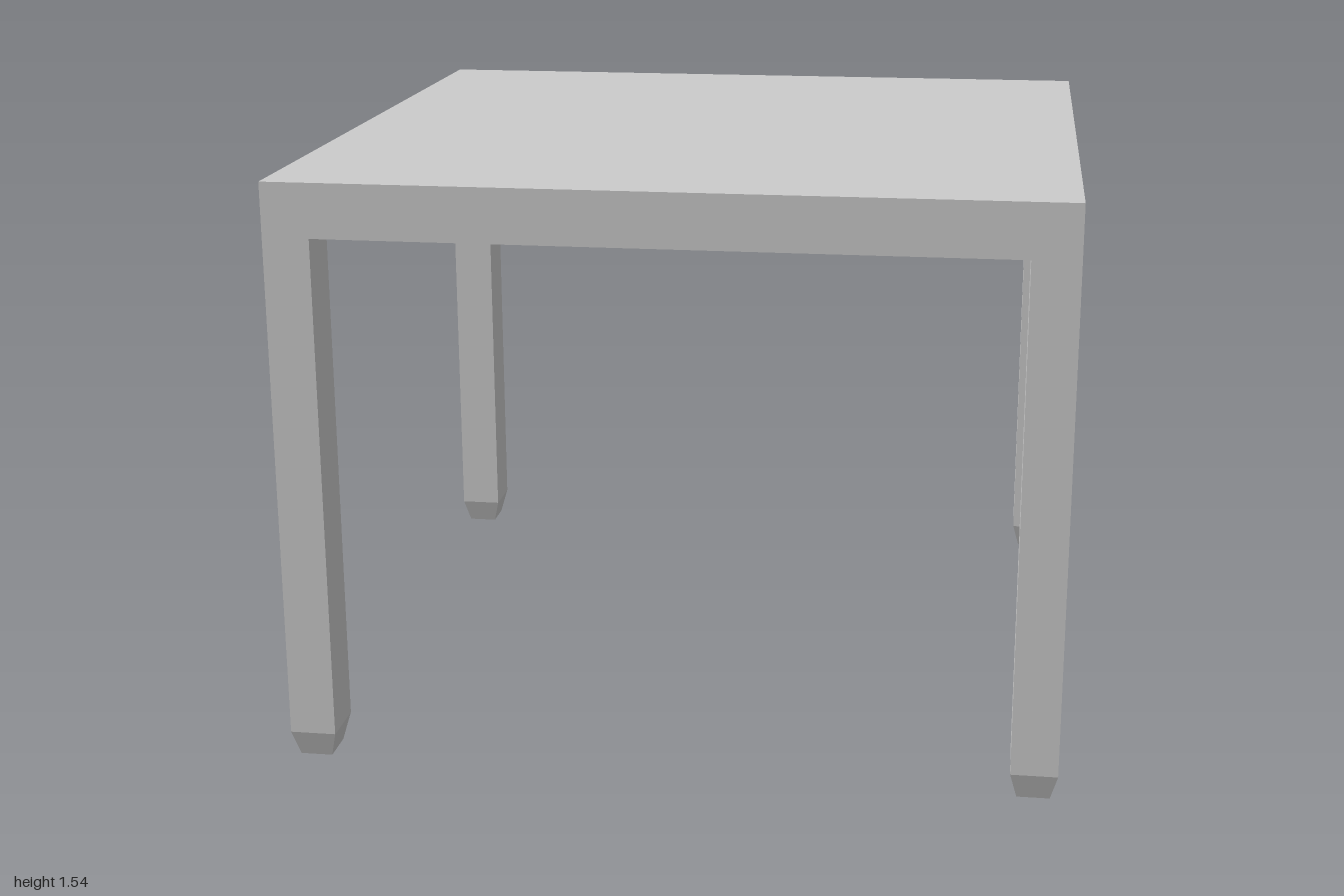
import * as THREE from 'three';

const LEG_X = 0.12, LEG_Z = 0.14;     // leg and apron thickness
const APRON_Y = 1.4, SLAB_Y = 1.47, TOP_Y = 1.54;
const FOOT_Y = 0.07;                  // height where the foot starts to taper

// Rectangle outline centred on the origin
function rectangle(PathType, halfX, halfY) {
  return new PathType([
    new THREE.Vector2(-halfX, -halfY), new THREE.Vector2(halfX, -halfY),
    new THREE.Vector2(halfX, halfY), new THREE.Vector2(-halfX, halfY),
  ]);
}

// Square post whose lowest part narrows to a smaller foot
function legGeometry() {
  const geometry = new THREE.BoxGeometry(LEG_X, APRON_Y, LEG_Z, 1, 2, 1);
  geometry.translate(0, APRON_Y / 2, 0);
  const p = geometry.attributes.position;
  for (let i = 0; i < p.count; i++) {
    const y = p.getY(i);
    if (y < 0.01) {
      p.setX(i, Math.sign(p.getX(i)) * (LEG_X / 2 - 0.018));
      p.setZ(i, Math.sign(p.getZ(i)) * (LEG_Z / 2 - 0.021));
    } else if (y < APRON_Y - 0.01) {
      p.setY(i, FOOT_Y);
    }
  }
  geometry.computeVertexNormals();
  return geometry;
}

export function createModel() {
  const group = new THREE.Group();
  group.name = 'table';
  const material = new THREE.MeshStandardMaterial({ color: 0xcccccc, flatShading: true });

  const add = (name, geometry, x = 0, y = 0, z = 0) => {
    const mesh = new THREE.Mesh(geometry, material);
    mesh.name = name;
    mesh.position.set(x, y, z);
    group.add(mesh);
  };

  // Tabletop slab
  add('tabletop', new THREE.BoxGeometry(2, TOP_Y - SLAB_Y, 2), 0, (TOP_Y + SLAB_Y) / 2, 0);

  // Apron frame running around the underside, flush with the legs
  const outline = rectangle(THREE.Shape, 1, 1);
  outline.holes.push(rectangle(THREE.Path, 1 - LEG_X, 1 - LEG_Z));
  const apron = new THREE.ExtrudeGeometry(outline, { depth: SLAB_Y - APRON_Y, bevelEnabled: false });
  apron.rotateX(-Math.PI / 2);
  add('apron', apron, 0, APRON_Y, 0);

  // Four corner legs
  const leg = legGeometry();
  for (const [zName, sz] of [['front', 1], ['back', -1]]) {
    for (const [xName, sx] of [['Left', 1], ['Right', -1]]) {
      add(`${zName}${xName}Leg`, leg, sx * (1 - LEG_X / 2), 0, sz * (1 - LEG_Z / 2));
    }
  }
  return group;
}
